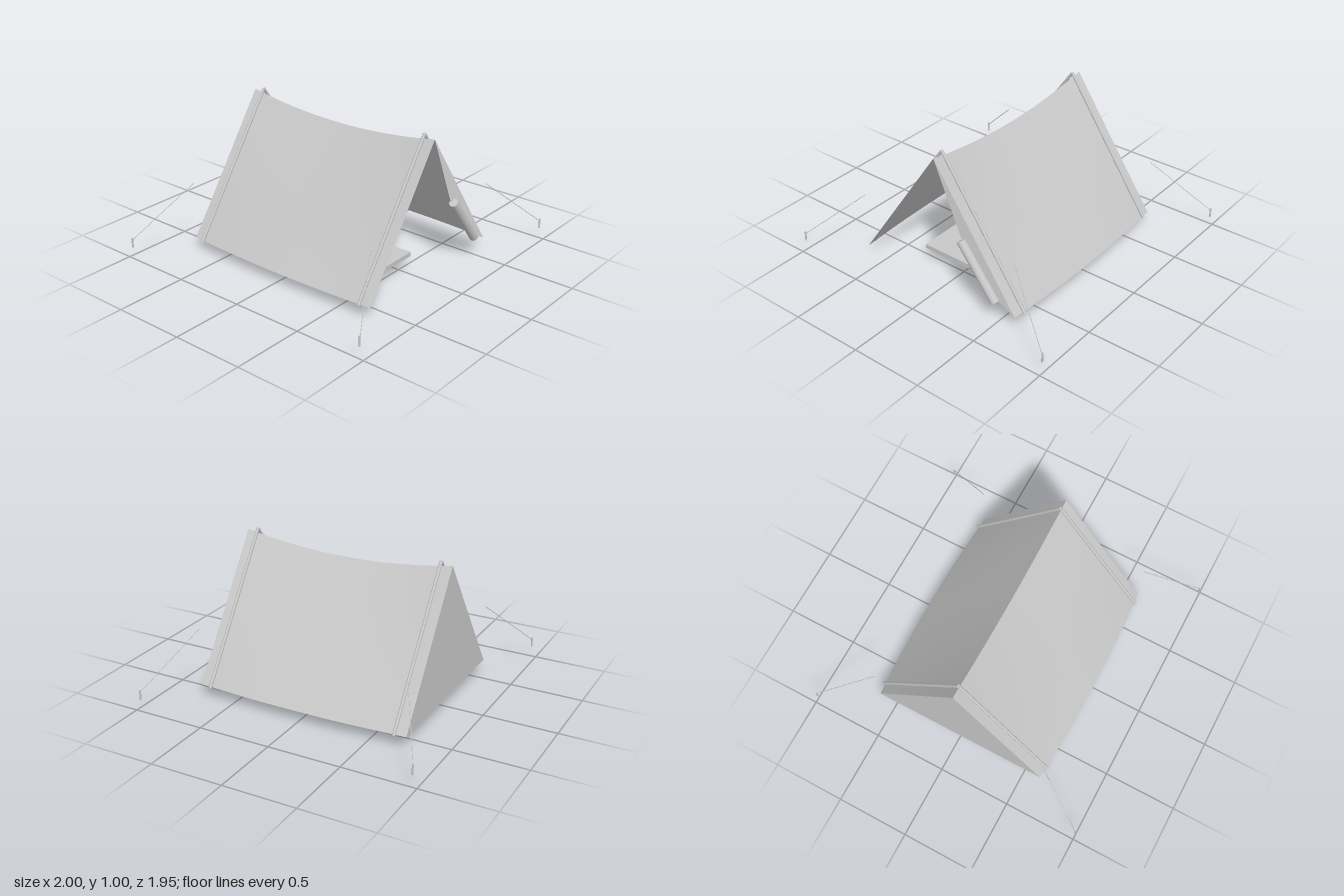
import * as THREE from 'three';

export function createModel() {
  const model = new THREE.Group();
  model.name = 'tent';
  const canvas = new THREE.MeshStandardMaterial({ name: 'greyCanvas', color: 0xc8c8c8, side: THREE.DoubleSide });
  const pale = new THREE.MeshStandardMaterial({ name: 'paleCanvas', color: 0xd8d8d8, side: THREE.DoubleSide });

  const add = (name, geometry, material = canvas) => {
    const mesh = new THREE.Mesh(geometry, material);
    mesh.name = name;
    model.add(mesh);
    return mesh;
  };

  // Round bar between two points
  const bar = (name, from, to, radius, sides = 12, open = false) => {
    const a = new THREE.Vector3(...from), b = new THREE.Vector3(...to);
    const dir = b.clone().sub(a);
    const mesh = add(name, new THREE.CylinderGeometry(radius, radius, dir.length(), sides, 1, open));
    mesh.position.copy(a).add(b).multiplyScalar(0.5);
    mesh.quaternion.setFromUnitVectors(new THREE.Vector3(0, 1, 0), dir.normalize());
    return mesh;
  };

  // Flat panel in the xy plane
  const panel = (name, points, z, material) => {
    const shape = new THREE.Shape(points.map(([x, y]) => new THREE.Vector2(x, y)));
    add(name, new THREE.ShapeGeometry(shape), material).position.z = z;
  };

  // Roof sides: the ridge sags and the hem bows out toward the middle
  for (const side of [-1, 1]) {
    const roof = new THREE.PlaneGeometry(1, 1, 24, 6);
    const p = roof.attributes.position;
    for (let i = 0; i < p.count; i++) {
      const u = p.getX(i) * 2 * -side;
      const t = p.getY(i) + 0.5;
      const bow = 1 - u * u;
      const ridge = 0.98 - 0.07 * bow;
      const half = 0.62 + 0.03 * bow;
      p.setXYZ(i, side * half * (1 - t), 0.08 + (ridge - 0.08) * t, u * 0.75);
    }
    roof.computeVertexNormals();
    add(side > 0 ? 'leftRoof' : 'rightRoof', roof);
  }

  // Closed back, and the tied-back door at the front
  panel('backWall', [[-0.62, 0.08], [0.62, 0.08], [0, 0.98]], -0.75, canvas);
  panel('doorFlap', [[0, 0.98], [0.21, 0.475], [0.48, 0.15], [0.62, 0.08]], 0.75, pale);
  bar('rolledDoor', [0.215, 0.486, 0.765], [0.478, 0.142, 0.765], 0.03, 20);

  // A-frame poles, guy ropes and pegs
  for (const end of [-1, 1]) {
    for (const side of [-1, 1]) {
      bar('framePole', [0, 0.999, end * 0.672], [side * 0.637, 0.078, end * 0.672], 0.011);
      bar('guyRope', [side * 0.617, 0.48, end * 0.75], [side * 0.99, 0.135, end * 0.967], 0.0025, 6);
      bar('peg', [side * 0.993, 0.08, end * 0.967], [side * 0.993, 0.15, end * 0.967], 0.006, 8);
    }
  }

  // Sleeping mat with an open, slightly tilted tube through it
  add('sleepingMat', new THREE.BoxGeometry(0.37, 0.03, 1.04)).position.set(-0.11, 0.1, 0.02);
  const tube = new THREE.CylinderGeometry(0.109, 0.109, 0.59, 8, 1, true);
  tube.rotateX(Math.PI / 2 - 0.032);
  add('beddingTube', tube).position.set(-0.11, 0.12, -0.025);

  return model;
}
